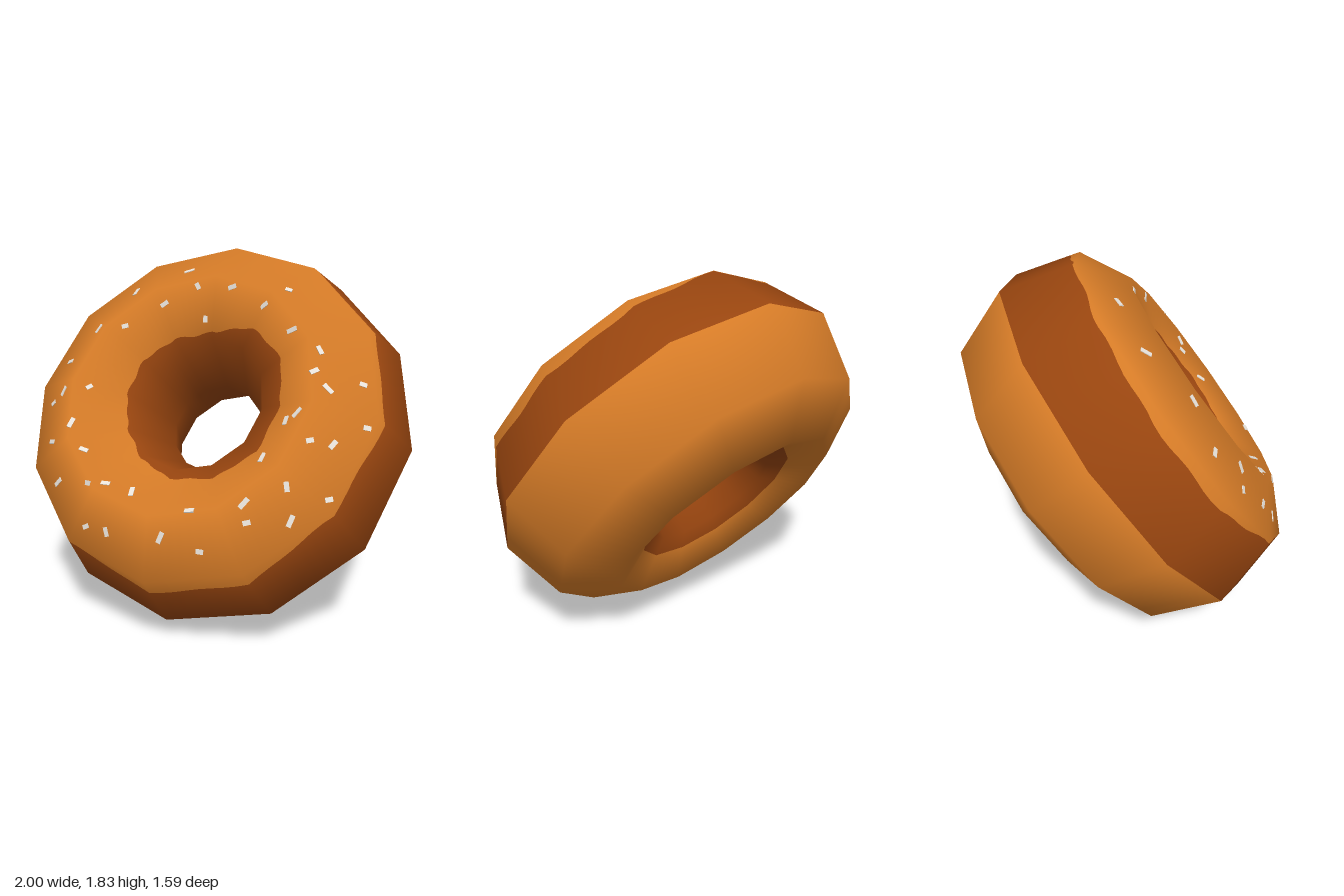
import * as THREE from 'three';
import { mergeGeometries } from 'three/addons/utils/BufferGeometryUtils.js';

const SIDES = 12, RING = 0.621, TUBE = 0.379, DEPTH = 0.477;
const TILT = Math.PI / 5, CENTRE_Y = 0.917;

const mat = (name, color) => {
  const m = new THREE.MeshStandardMaterial({ color });
  m.name = name;
  return m;
};

// Corner of the 12 x 8 sided ring: i goes round the ring, k round the tube
// (k = 0 outer rim, 2 front, 4 hole, 6 back)
function corner(i, k, normal) {
  const a = (i / SIDES) * Math.PI * 2, b = (k / 8) * Math.PI * 2;
  const c = Math.cos(b), s = Math.sin(b);
  if (normal) {
    return new THREE.Vector3(Math.cos(a) * c / TUBE, Math.sin(a) * c / TUBE, s / DEPTH).normalize();
  }
  const r = RING + TUBE * c;
  return new THREE.Vector3(Math.cos(a) * r, Math.sin(a) * r, DEPTH * s);
}

// Any point (or smooth normal) on the flat facets between corners
function onRing(t, s, normal = false) {
  const i = Math.floor(t), k = Math.floor(s);
  const p = corner(i, k, normal).lerp(corner(i + 1, k, normal), t - i);
  const q = corner(i, k + 1, normal).lerp(corner(i + 1, k + 1, normal), t - i);
  p.lerp(q, s - k);
  return normal ? p.normalize() : p;
}

// Smooth closed curve through one value per side
function wavy(values, max) {
  const n = values.length;
  return (t) => {
    const i = Math.floor(t), f = t - i;
    const [a, b, c, d] = [-1, 0, 1, 2].map((o) => values[(i + o + n) % n]);
    const v = b + 0.5 * f * (c - a + f * (2 * a - 5 * b + 4 * c - d + f * (3 * (b - c) + d - a)));
    return Math.min(max, v + 0.015 * Math.sin(t * Math.PI * 3));
  };
}

// Surface band through a list of tube positions, each a number or a curve
function band(rows) {
  const STEPS = 8, count = SIDES * STEPS, pos = [], nor = [], index = [];
  for (let j = 0; j < rows.length; j++) {
    for (let i = 0; i <= count; i++) {
      const t = (i % count) / STEPS;
      const s = typeof rows[j] === 'function' ? rows[j](t) : rows[j];
      pos.push(...onRing(t, s).toArray());
      nor.push(...onRing(t, s, true).toArray());
      if (j > 0 && i < count) {
        const c = j * (count + 1) + i, a = c - count - 1;
        index.push(a, a + 1, c + 1, a, c + 1, c);
      }
    }
  }
  const g = new THREE.BufferGeometry();
  g.setAttribute('position', new THREE.Float32BufferAttribute(pos, 3));
  g.setAttribute('normal', new THREE.Float32BufferAttribute(nor, 3));
  g.setIndex(index);
  return g;
}

// Sprinkle spots seen straight from the front: x, y, turn in degrees
const SPRINKLES = [
  [-0.09, 1.65, 120], [-0.26, 1.56, 40], [-0.47, 1.61, 95], [-0.04, 1.49, 95], [0.28, 1.57, 30],
  [-0.59, 1.43, 60], [-0.44, 1.45, 20], [-0.73, 1.26, 0], [-0.68, 1.13, 60], [-0.75, 1.06, 30],
  [-0.67, 0.90, 0], [-0.55, 1.01, 80], [-0.54, 1.16, 45], [-0.44, 0.90, 0], [-0.57, 0.73, 40],
  [-0.35, 0.78, 0], [-0.27, 0.78, 10], [-0.13, 0.76, 100], [-0.34, 0.58, 30], [-0.22, 0.58, 105],
  [0.07, 0.61, 75], [0.25, 0.57, 0], [0.19, 0.74, 10], [0.42, 0.79, 60], [0.44, 0.71, 20],
  [0.58, 0.86, 110], [0.61, 0.72, 80], [0.75, 0.81, 20], [0.51, 1.10, 90], [0.56, 1.14, 50],
  [0.64, 1.04, 20], [0.60, 1.31, 40], [0.67, 1.24, 150], [0.80, 1.25, 0], [0.60, 1.39, 130],
  [0.45, 1.47, 20], [0.85, 1.08, 0], [0.73, 1.02, 60], [0.44, 0.95, 90], [0.38, 1.64, 0],
  [0.10, 1.65, 20], [-0.19, 1.72, 30],
];

// Thin plate lying on the icing below a spot
function sprinkle([x, y, turn], n) {
  let t = 0, s = 2, depth = 0.43;
  for (let i = 0; i < 40; i++) {
    const v = (y - CENTRE_Y - depth * Math.sin(TILT)) / Math.cos(TILT);
    t = ((Math.atan2(v, x) / (Math.PI * 2)) * SIDES + SIDES) % SIDES;
    const f = t - Math.floor(t) - 0.5;
    const flat = Math.cos(Math.PI / SIDES) / Math.cos(f * Math.PI * 2 / SIDES);
    const off = Math.hypot(x, v) / flat - RING;
    s = THREE.MathUtils.clamp(2 - off / (TUBE * Math.SQRT1_2), 0.95, 2.95);
    depth += 0.5 * (onRing(t, s).z - depth);
  }
  const i = Math.floor(t), k = Math.floor(s), o = corner(i, k);
  const normal = corner(i + 1, k).sub(o).cross(corner(i, k + 1).sub(o)).normalize();
  const a = THREE.MathUtils.degToRad(turn);
  const along = new THREE.Vector3(Math.cos(a), Math.sin(a), 0);
  along.addScaledVector(normal, -along.dot(normal)).normalize();
  const across = normal.clone().cross(along);
  const m = new THREE.Matrix4().makeBasis(along, across, normal).setPosition(onRing(t, s));
  const g = new THREE.BoxGeometry(0.034 + 0.01 * (n % 3), 0.022, 0.007);
  return g.applyMatrix4(m);
}

export function createModel() {
  const golden = mat('golden', 0xd57b27);
  const brown = mat('brown', 0x98450f);
  const white = mat('white', 0xe8e2da);

  const outerEdge = wavy([0.82, 0.8, 0.85, 0.99, 0.95, 0.88, 0.87, 0.97, 0.96, 0.75, 0.78, 0.94], 1);
  const innerEdge = wavy([2.62, 2.57, 2.64, 2.9, 2.9, 2.88, 2.93, 2.97, 2.92, 2.8, 2.68, 2.6], 3);
  const backEdge = 5.33;

  const ring = new THREE.Group();
  ring.name = 'doughnut';
  const add = (name, geometry, material) => {
    const mesh = new THREE.Mesh(geometry, material);
    mesh.name = name;
    ring.add(mesh);
  };
  add('icing', band([outerEdge, 1, 2, innerEdge]), golden);
  add('outerBand', band([0, outerEdge]), brown);
  add('holeWall', band([innerEdge, 3, 4, 5, backEdge]), brown);
  add('backDough', band([backEdge, 6, 7, 8]), golden);
  add('sprinkles', mergeGeometries(SPRINKLES.map(sprinkle)), white);

  // Leaned back so the icing faces forward and up
  ring.rotation.x = -TILT;
  ring.position.y = CENTRE_Y;

  const model = new THREE.Group();
  model.name = 'model';
  model.add(ring);
  return model;
}
